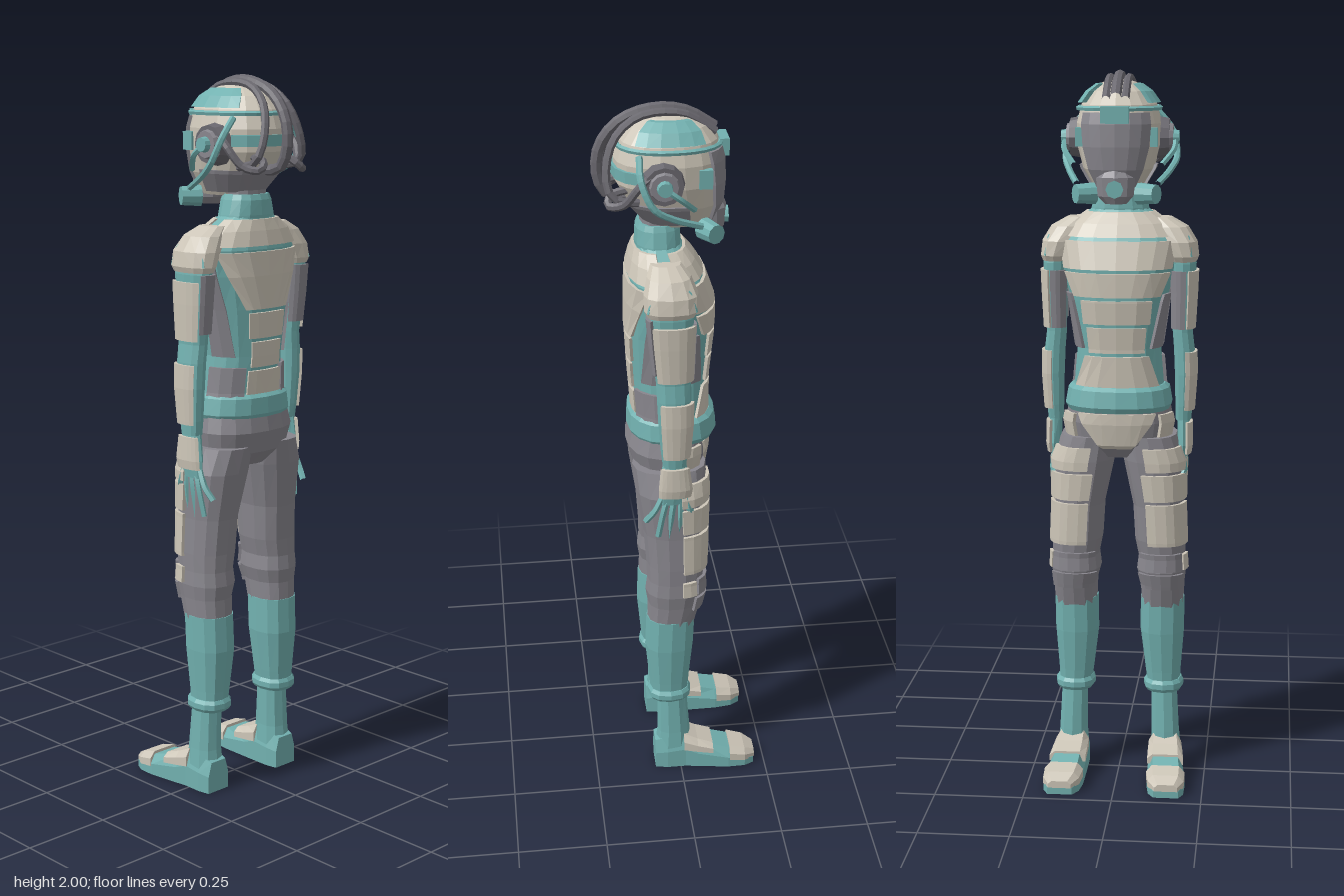
import * as THREE from 'three';

const paint = (name, color) => { const m = new THREE.MeshStandardMaterial({ color }); m.name = name; return m; };
const DEG = Math.PI / 180;

// Give every triangle its own normal for a faceted look
function flat(geo) {
  const g = geo.index ? geo.toNonIndexed() : geo;
  g.deleteAttribute('uv');
  g.computeVertexNormals();
  return g;
}

// Mirrored copy across x with corrected winding
function mirrored(geo) {
  const g = geo.clone(), p = g.attributes.position;
  const v = [0, 1, 2].map(() => new THREE.Vector3());
  for (let i = 0; i < p.count; i += 3) {
    v.forEach((q, k) => q.fromBufferAttribute(p, i + k));
    [v[0], v[2], v[1]].forEach((q, k) => p.setXYZ(i + k, -q.x, q.y, q.z));
  }
  g.computeVertexNormals();
  return g;
}

// Faceted surface over a grid of points: rows of [x, y, z]
function skin(rows) {
  const pos = [];
  for (let i = 0; i + 1 < rows.length; i++) {
    for (let j = 0; j + 1 < rows[i].length; j++) {
      const a = rows[i][j], b = rows[i][j + 1], c = rows[i + 1][j + 1], d = rows[i + 1][j];
      pos.push(...a, ...b, ...c, ...a, ...c, ...d);
    }
  }
  const g = new THREE.BufferGeometry();
  g.setAttribute('position', new THREE.Float32BufferAttribute(pos, 3));
  return flat(g);
}

// Rings are [y, cx, cz, rx, rz]; angle 0 points to +z and 90 to +x
const soft = (t) => Math.sign(t) * Math.abs(t) ** 0.85;
const onRing = ([y, cx, cz, rx, rz], deg, off = 0) =>
  [cx + (rx + off) * soft(Math.sin(deg * DEG)), y, cz + (rz + off) * soft(Math.cos(deg * DEG))];

function ringAt(rings, y) {
  let i = 0;
  while (i < rings.length - 2 && rings[i + 1][0] < y) i++;
  const a = rings[i], b = rings[i + 1], t = (y - a[0]) / (b[0] - a[0]);
  return a.map((v, k) => v + (b[k] - v) * t);
}

// Closed body through the rings, bottom to top
function loft(rings, n = 14) {
  const tip = (r) => [r[0], r[1], r[2], 0, 0];
  const all = [tip(rings[0]), ...rings, tip(rings[rings.length - 1])];
  return skin(all.map((r) => Array.from({ length: n + 1 }, (_, j) => onRing(r, j * 360 / n))));
}

// Raised plate following a lofted body; the angles may differ at bottom and top
function plate(rings, y0, y1, b0, b1, t0 = b0, t1 = b1, off = 0.008) {
  const ys = [y0, ...rings.map((r) => r[0]).filter((y) => y > y0 + 0.005 && y < y1 - 0.005), y1];
  const n = Math.max(1, Math.ceil(Math.max(b1 - b0, t1 - t0) / 20));
  const row = (y, edge) => {
    const k = (y - y0) / (y1 - y0), r = ringAt(rings, y);
    const a0 = b0 + (t0 - b0) * k, a1 = b1 + (t1 - b1) * k, pts = [];
    for (let j = -1; j <= n + 1; j++) {
      const c = Math.min(n, Math.max(0, j));
      pts.push(onRing(r, a0 + (a1 - a0) * c / n, edge || c !== j ? -0.006 : off));
    }
    return pts;
  };
  return skin([row(y0, true), ...ys.map((y) => row(y, false)), row(y1, true)]);
}

const tube = (pts, r, closed = false, sides = 7) => flat(new THREE.TubeGeometry(
  new THREE.CatmullRomCurve3(pts.map((p) => new THREE.Vector3(...p)), closed), closed ? 28 : 18, r, sides, closed));

const box = (w, h, d, x, y, z) => flat(new THREE.BoxGeometry(w, h, d).translate(x, y, z));

// Foot slices are [z, cx, halfWidth, bottom, top], toe to heel
function footLoft(slices) {
  const shape = [[0, 0], [1, 0], [1, 0.55], [0.7, 1], [-0.7, 1], [-1, 0.55], [-1, 0], [0, 0]];
  const ring = ([z, cx, w, b, t], s = 1) => shape.map(([u, v]) => [cx + u * w * s, b + v * (t - b) * s, z]);
  return skin([ring(slices[0], 0), ...slices.map((s) => ring(s)), ring(slices[slices.length - 1], 0)]);
}

export function createModel() {
  const beige = paint('beige armour', 0xcdc6b8), teal = paint('teal suit', 0x72b1b0);
  const grey = paint('grey cloth', 0x88868d), dark = paint('dark hose', 0x6a686f);
  const model = new THREE.Group();
  model.name = 'armouredFigure';
  const add = (name, geo, mat) => {
    const m = new THREE.Mesh(geo, mat);
    m.name = name;
    model.add(m);
  };
  const pair = (name, geo, mat) => { add(name + 'Left', geo, mat); add(name + 'Right', mirrored(geo), mat); };
  const plates = (name, rings, list) => list.forEach(([mat, ...p]) => pair(name, plate(rings, ...p), mat));

  // Torso
  const torso = [[1.08, 0, 0.01, 0.14, 0.108], [1.15, 0, 0.015, 0.125, 0.1], [1.25, 0, 0.018, 0.116, 0.105],
    [1.38, 0, 0.015, 0.135, 0.115], [1.47, 0, 0.015, 0.155, 0.115], [1.54, 0, 0.025, 0.165, 0.102],
    [1.59, 0, 0.035, 0.13, 0.08], [1.63, 0, 0.045, 0.075, 0.058]];
  add('torso', loft(torso, 18), teal);
  plates('backPlate', torso, [
    [beige, 1.55, 1.62, 0, 80], [beige, 1.38, 1.535, 0, 28, 0, 60], [grey, 1.25, 1.52, 46, 82, 64, 85],
    [beige, 1.145, 1.21, 0, 24], [beige, 1.22, 1.29, 0, 21], [beige, 1.3, 1.37, 0, 24], [grey, 1.14, 1.22, 28, 85]]);
  plates('chestPlate', torso, [
    [beige, 1.555, 1.62, 100, 180], [beige, 1.47, 1.545, 115, 180, 108, 180], [beige, 1.395, 1.46, 128, 180, 116, 180],
    [beige, 1.32, 1.385, 140, 180], [beige, 1.24, 1.31, 145, 180], [beige, 1.145, 1.23, 122, 180, 138, 180],
    [grey, 1.25, 1.4, 98, 132, 98, 120]]);
  add('belt', loft([[1.075, 0, 0.01, 0.142, 0.118], [1.09, 0, 0.01, 0.15, 0.125], [1.135, 0, 0.012, 0.142, 0.12],
    [1.145, 0, 0.012, 0.13, 0.108]], 18), teal);

  // Pelvis
  const pelvis = [[0.94, 0, 0.02, 0.06, 0.07], [0.98, 0, 0.022, 0.14, 0.1], [1.04, 0, 0.025, 0.152, 0.113], [1.09, 0, 0.02, 0.142, 0.108]];
  add('pelvis', loft(pelvis, 18), grey);
  plates('hipPlate', pelvis, [[beige, 0.97, 1.07, 165, 180, 138, 180], [beige, 1.0, 1.065, 100, 132]]);

  // Legs
  const leg = [[0.5, 0.124, 0.025, 0.06, 0.068], [0.57, 0.125, 0.015, 0.063, 0.076], [0.61, 0.122, 0.013, 0.071, 0.084],
    [0.65, 0.123, 0.012, 0.067, 0.08], [0.7, 0.118, 0.01, 0.072, 0.083], [0.8, 0.113, 0.012, 0.073, 0.088],
    [0.93, 0.1, 0.02, 0.088, 0.1], [1.0, 0.085, 0.025, 0.078, 0.102]];
  pair('trouserLeg', loft(leg), grey);
  plates('thighPlate', leg, [[beige, 0.69, 0.81, 98, 200], [beige, 0.82, 0.895, 98, 200], [beige, 0.905, 0.97, 98, 190]]);
  plates('kneePad', leg, [[grey, 0.56, 0.605, 125, 235], [grey, 0.615, 0.665, 130, 230], [beige, 0.615, 0.66, 98, 125]]);
  const calf = [[0.25, 0.128, 0.03, 0.046, 0.054], [0.3, 0.126, 0.03, 0.051, 0.058], [0.42, 0.123, 0.029, 0.063, 0.07], [0.52, 0.124, 0.025, 0.063, 0.07]];
  pair('calf', loft(calf, 12), teal);
  pair('bootCuff', loft([[0.24, 0.128, 0.03, 0.05, 0.057], [0.25, 0.128, 0.03, 0.057, 0.063],
    [0.265, 0.128, 0.03, 0.057, 0.063], [0.275, 0.128, 0.03, 0.05, 0.057]], 12), teal);
  pair('ankle', loft([[0.04, 0.135, 0.02, 0.046, 0.055], [0.12, 0.134, 0.018, 0.04, 0.048], [0.25, 0.13, 0.022, 0.037, 0.042]], 10), teal);

  // Feet
  pair('foot', footLoft([[-0.217, 0.15, 0.035, 0, 0.035], [-0.19, 0.148, 0.05, 0, 0.048], [-0.14, 0.145, 0.054, 0, 0.06],
    [-0.05, 0.138, 0.048, 0, 0.085], [-0.015, 0.135, 0.045, 0, 0.11], [0.04, 0.135, 0.045, 0, 0.1], [0.075, 0.135, 0.038, 0, 0.09]]), teal);
  pair('toeCap', footLoft([[-0.22, 0.15, 0.032, 0.02, 0.04], [-0.19, 0.148, 0.051, 0.02, 0.056], [-0.145, 0.145, 0.055, 0.025, 0.067]]), beige);
  pair('instepStrap', footLoft([[-0.095, 0.141, 0.052, 0.05, 0.079], [-0.05, 0.138, 0.05, 0.055, 0.094], [-0.01, 0.135, 0.047, 0.06, 0.112]]), beige);

  // Arms
  const arm = [[1.04, 0.18, 0.02, 0.022, 0.032], [1.08, 0.181, 0.02, 0.024, 0.037], [1.17, 0.183, 0.02, 0.028, 0.044],
    [1.24, 0.181, 0.021, 0.029, 0.046], [1.29, 0.176, 0.022, 0.028, 0.047], [1.4, 0.178, 0.026, 0.032, 0.055],
    [1.48, 0.178, 0.028, 0.035, 0.06], [1.55, 0.165, 0.03, 0.04, 0.055]];
  pair('arm', loft(arm, 12), teal);
  pair('shoulderPad', loft([[1.485, 0.178, 0.028, 0.036, 0.064], [1.5, 0.177, 0.027, 0.043, 0.072],
    [1.54, 0.165, 0.027, 0.05, 0.072], [1.58, 0.14, 0.03, 0.05, 0.058], [1.605, 0.11, 0.035, 0.035, 0.04]], 12), beige);
  pair('shoulderTrim', tube([[0.2, 1.5, 0.09], [0.192, 1.55, 0.075], [0.184, 1.572, 0.03], [0.192, 1.55, -0.02], [0.2, 1.5, -0.035]], 0.004, false, 4), teal);
  plates('armPlate', arm, [[beige, 1.3, 1.46, 40, 160], [grey, 1.32, 1.48, -50, 34], [grey, 1.3, 1.46, 170, 235],
    [beige, 1.07, 1.235, 45, 175]]);

  // Hands
  pair('palm', loft([[0.92, 0.18, 0.025, 0.012, 0.036], [0.97, 0.182, 0.02, 0.018, 0.043], [1.06, 0.18, 0.02, 0.018, 0.03]], 8), teal);
  pair('handGuard', plate([[0.92, 0.18, 0.022, 0.012, 0.038], [0.97, 0.182, 0.018, 0.018, 0.043], [1.06, 0.18, 0.02, 0.018, 0.032]],
    0.945, 1.035, 25, 155), beige);
  [[0.05, 0.1, 0.865], [0.035, 0.065, 0.815], [0.018, 0.035, 0.81], [0.002, 0.005, 0.825], [-0.012, -0.032, 0.885]].forEach(([z0, z1, y]) =>
    pair('finger', tube([[0.18, 0.95, z0], [0.184, 0.9, (z0 + z1) / 2], [0.176, y, z1]], 0.009, false, 5), teal));

  // Neck and collar
  add('neck', loft([[1.6, 0, 0.045, 0.06, 0.05], [1.74, 0, 0.04, 0.058, 0.05]], 12), grey);
  add('collar', loft([[1.605, 0, 0.045, 0.085, 0.06], [1.63, 0, 0.045, 0.08, 0.062], [1.67, 0, 0.045, 0.07, 0.06], [1.685, 0, 0.045, 0.064, 0.054]], 14), teal);

  // Helmet
  const head = [[1.68, 0, -0.015, 0.06, 0.085], [1.74, 0, 0.0, 0.096, 0.122], [1.8, 0, 0.015, 0.113, 0.142],
    [1.86, 0, 0.017, 0.115, 0.142], [1.91, 0, 0.015, 0.102, 0.128], [1.945, 0, 0.015, 0.077, 0.1], [1.968, 0, 0.015, 0.045, 0.06], [1.977, 0, 0.015, 0.018, 0.03]];
  add('helmet', loft(head, 18), beige);
  plates('helmetPlate', head, [[grey, 1.69, 1.75, 0, 100], [teal, 1.815, 1.845, 0, 60],
    [grey, 1.69, 1.89, 140, 180, 132, 180], [teal, 1.915, 1.965, 50, 125, 45, 130, 0.014]]);
  add('browRim', tube(Array.from({ length: 14 }, (_, j) => onRing(ringAt(head, 1.9), j * 360 / 14, 0.006)), 0.007, true, 5), teal);
  add('browBlock', box(0.075, 0.045, 0.025, 0, 1.885, -0.127), teal);
  pair('templeBlock', box(0.02, 0.05, 0.035, 0.1, 1.825, -0.07), teal);

  // Ear units
  const disc = (r, x0, x1) => flat(new THREE.CylinderGeometry(r * 0.85, r, x1 - x0, 12).rotateZ(-Math.PI / 2).translate((x0 + x1) / 2, 1.82, 0.04));
  pair('earPad', disc(0.06, 0.09, 0.136), dark);
  pair('earCover', disc(0.042, 0.13, 0.146), grey);
  pair('earHub', disc(0.022, 0.14, 0.162), teal);
  pair('earBracket', tube([[0.1, 1.89, 0.1], [0.14, 1.84, 0.1], [0.155, 1.77, 0.07], [0.14, 1.735, 0.02], [0.11, 1.7, -0.06]], 0.009, false, 6), teal);
  pair('earLever', tube([[0.15, 1.82, 0.04], [0.15, 1.79, 0.0], [0.12, 1.75, -0.04]], 0.008, false, 5), teal);

  // Breathing mask
  add('mask', loft([[1.65, 0, -0.095, 0.03, 0.03], [1.67, 0, -0.09, 0.05, 0.045], [1.72, 0, -0.088, 0.055, 0.05], [1.75, 0, -0.085, 0.03, 0.04]], 10), grey);
  const canister = flat(new THREE.CylinderGeometry(0.026, 0.03, 0.055, 10).rotateZ(-Math.PI / 2).rotateY(0.5).translate(0.085, 1.675, -0.085));
  pair('filterCanister', canister, teal);
  add('mouthValve', flat(new THREE.CylinderGeometry(0.02, 0.024, 0.03, 8).rotateX(Math.PI / 2).translate(0, 1.69, -0.127)), teal);

  // Hoses over the crown
  add('centreHose', tube([[0, 1.93, -0.105], [0, 1.975, -0.03], [0, 1.985, 0.05], [0, 1.955, 0.14], [0, 1.89, 0.193],
    [0, 1.81, 0.2], [0, 1.76, 0.175], [0, 1.75, 0.12]], 0.015, false, 8), dark);
  pair('crownHose', tube([[0.026, 1.925, -0.105], [0.026, 1.975, -0.02], [0.028, 1.972, 0.09], [0.045, 1.92, 0.158],
    [0.07, 1.83, 0.182], [0.085, 1.775, 0.165], [0.08, 1.76, 0.1]], 0.011), dark);
  pair('earHose', tube([[0.12, 1.86, 0.05], [0.128, 1.82, 0.1], [0.105, 1.765, 0.14], [0.08, 1.755, 0.178],
    [0.056, 1.775, 0.17], [0.055, 1.79, 0.12]], 0.011), dark);
  return model;
}
